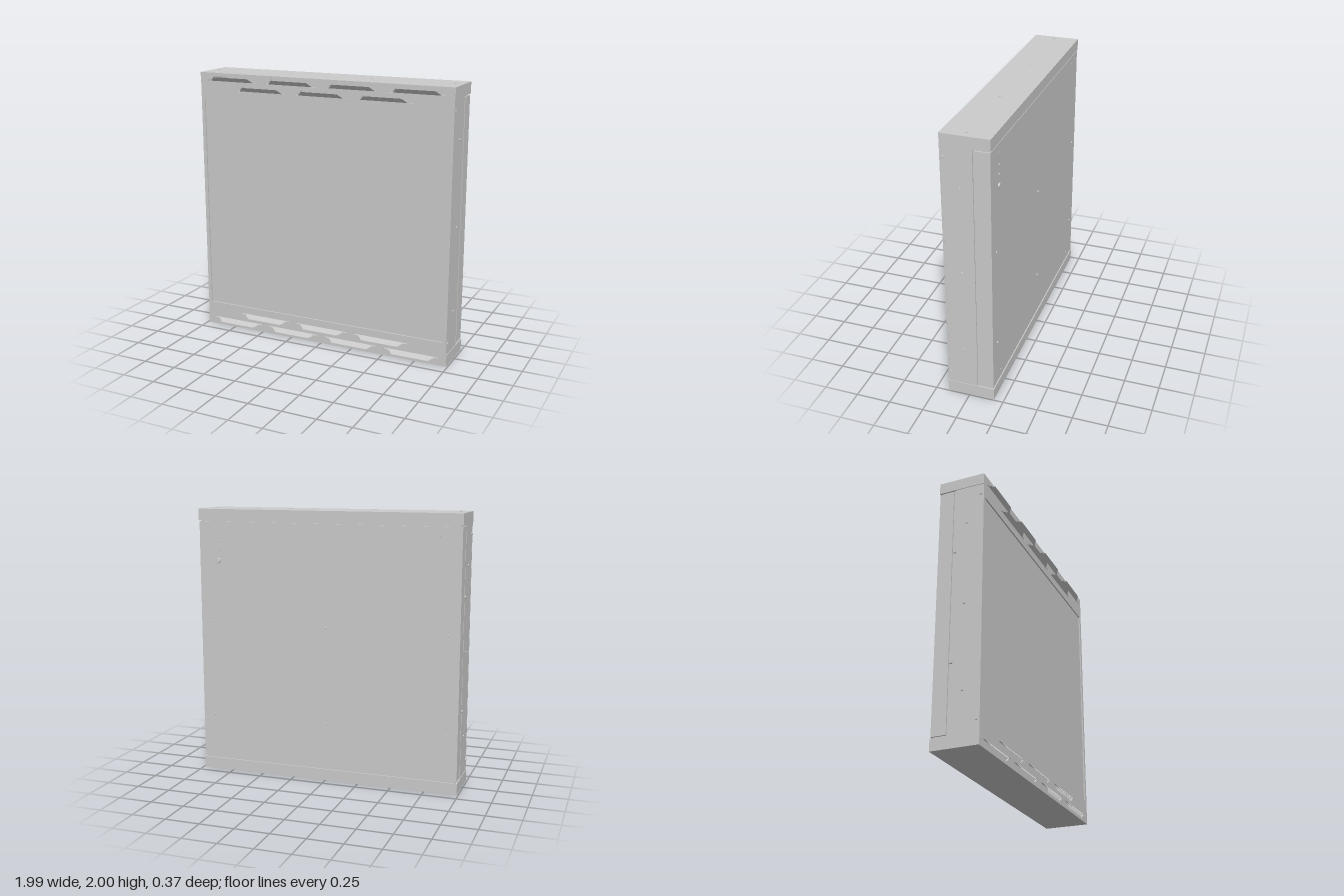
import * as THREE from 'three';

const H = 1.99, FRONT = 0.16, T = 0.01;

export function createModel() {
  const model = new THREE.Group();
  const grey = new THREE.MeshStandardMaterial({ color: 0xcccccc });
  const thin = new THREE.MeshStandardMaterial({ color: 0xcccccc, side: THREE.DoubleSide });

  const add = (name, geometry, material = grey) => {
    const mesh = new THREE.Mesh(geometry, material);
    mesh.name = name;
    model.add(mesh);
    return mesh;
  };
  // box given by its limits on each axis
  const box = (name, x0, x1, y0, y1, z0, z1) =>
    add(name, new THREE.BoxGeometry(x1 - x0, y1 - y0, z1 - z0))
      .position.set((x0 + x1) / 2, (y0 + y1) / 2, (z0 + z1) / 2);

  // louvre positions: x, hinge y, direction in which the flap opens
  const louvres = [];
  for (const s of [1, -1]) {
    const fromEdge = (d) => (s > 0 ? H - d : d);
    for (const x of [-0.72, -0.24, 0.24, 0.72]) louvres.push([x, fromEdge(0.06), s]);
    for (const x of [-0.48, 0, 0.48]) louvres.push([x, fromEdge(0.125), s]);
  }

  // front frame with the panel opening and the louvre slots
  const polygon = (points) => points.map(([x, y]) => new THREE.Vector2(x, y));
  const frame = new THREE.Shape(polygon([[-0.987, 0], [0.987, 0], [0.987, H], [-0.987, H]]));
  frame.holes.push(new THREE.Path(polygon([[-0.96, 0.18], [-0.96, 1.805], [0.96, 1.805], [0.96, 0.18]])));
  const slot = [[-0.21, 0], [0.21, 0], [0.21, 0.006], [0.18, 0.008], [0.145, 0.036],
    [-0.145, 0.036], [-0.18, 0.008], [-0.21, 0.006]];
  for (const [x, y, s] of louvres) {
    frame.holes.push(new THREE.Path(polygon(slot.map(([px, py]) => [x + px, y + s * py]))));
  }
  add('frontFrame', new THREE.ExtrudeGeometry(frame, { depth: T, bevelEnabled: false }))
    .position.z = FRONT - T;

  // flaps leaning out of the slots
  for (const [x, y, s] of louvres) {
    const flap = new THREE.BufferGeometry();
    flap.setAttribute('position', new THREE.Float32BufferAttribute([
      -0.175, 0, 0, 0.175, 0, 0, 0.14, 0.03 * s, 0.025, -0.14, 0.03 * s, 0.025], 3));
    flap.setIndex(s > 0 ? [0, 1, 2, 0, 2, 3] : [0, 2, 1, 0, 3, 2]);
    flap.computeVertexNormals();
    add('louvreFlap', flap, thin).position.set(x, y, FRONT);
  }

  // recessed front panel
  box('frontPanel', -0.975, 0.975, 0.17, 1.815, FRONT - 2 * T, FRONT - T);

  // top and bottom caps with skirts on the sides and back
  for (const [name, y0, y1, plate] of [['topCap', 1.908, H, H - T], ['bottomCap', 0, 0.085, 0]]) {
    box(name + 'Plate', -0.99, 0.99, plate, plate + T, -0.18, FRONT - 0.001);
    box(name + 'BackSkirt', -0.99, 0.99, y0, y1, -0.18, -0.17);
    for (const s of [-1, 1]) {
      box(name + 'SideSkirt', s * 0.985 - 0.005, s * 0.985 + 0.005, y0, y1, -0.18, FRONT - 0.001);
    }
  }

  // side walls, rear cover and the recessed strip in the gap between them
  for (const s of [-1, 1]) {
    box('sideWall', s * 0.981 - 0.005, s * 0.981 + 0.005, 0.01, 1.98, -0.058, FRONT - T);
    box('rearCoverSide', s * 0.981 - 0.005, s * 0.981 + 0.005, 0.095, 1.898, -0.174, -0.07);
    box('gapStrip', s * 0.966 - 0.005, s * 0.966 + 0.005, 0.01, 1.98, -0.17, 0);
  }
  box('rearCover', -0.986, 0.986, 0.095, 1.898, -0.176, -0.166);
  box('rearInnerWall', -0.97, 0.97, 0.01, 1.98, -0.165, -0.155);

  // screw heads pointing along an outward direction
  const up = new THREE.Vector3(0, 1, 0);
  const screw = (x, y, z, normal, radius = 0.01, height = 0.012, name = 'screw') => {
    const mesh = add(name, new THREE.CylinderGeometry(radius * 0.75, radius, height, 12));
    mesh.position.set(x, y, z);
    mesh.quaternion.setFromUnitVectors(up, normal);
  };
  const back = new THREE.Vector3(0, 0, -1);
  for (const x of [-0.935, -0.32, 0.32, 0.935]) screw(x, H, -0.005, up);
  for (const s of [-1, 1]) {
    const out = new THREE.Vector3(s, 0, 0);
    for (const [y, z] of [[1.83, 0.135], [1.62, 0.032], [1, 0.032], [0.38, 0.032], [0.17, 0.135]]) {
      screw(s * 0.987, y, z, out);
    }
  }
  for (const y of [1.405, 0.585]) screw(-0.987, y, -0.05, new THREE.Vector3(-1, 0, 0), 0.013);
  for (const x of [-0.9, 0, 0.9]) for (const y of [1.15, 0.43]) screw(x, y, -0.177, back);
  for (const x of [-0.837, 0.837]) for (const y of [1.84, 0.15]) screw(x, y, -0.176, back, 0.01, 0.004);

  // indicators and socket on the back
  for (const y of [1.755, 1.69]) screw(0.837, y, -0.177, back, 0.009, 0.012, 'indicator');
  screw(0.837, 1.61, -0.178, back, 0.022, 0.016, 'socket');

  return model;
}
